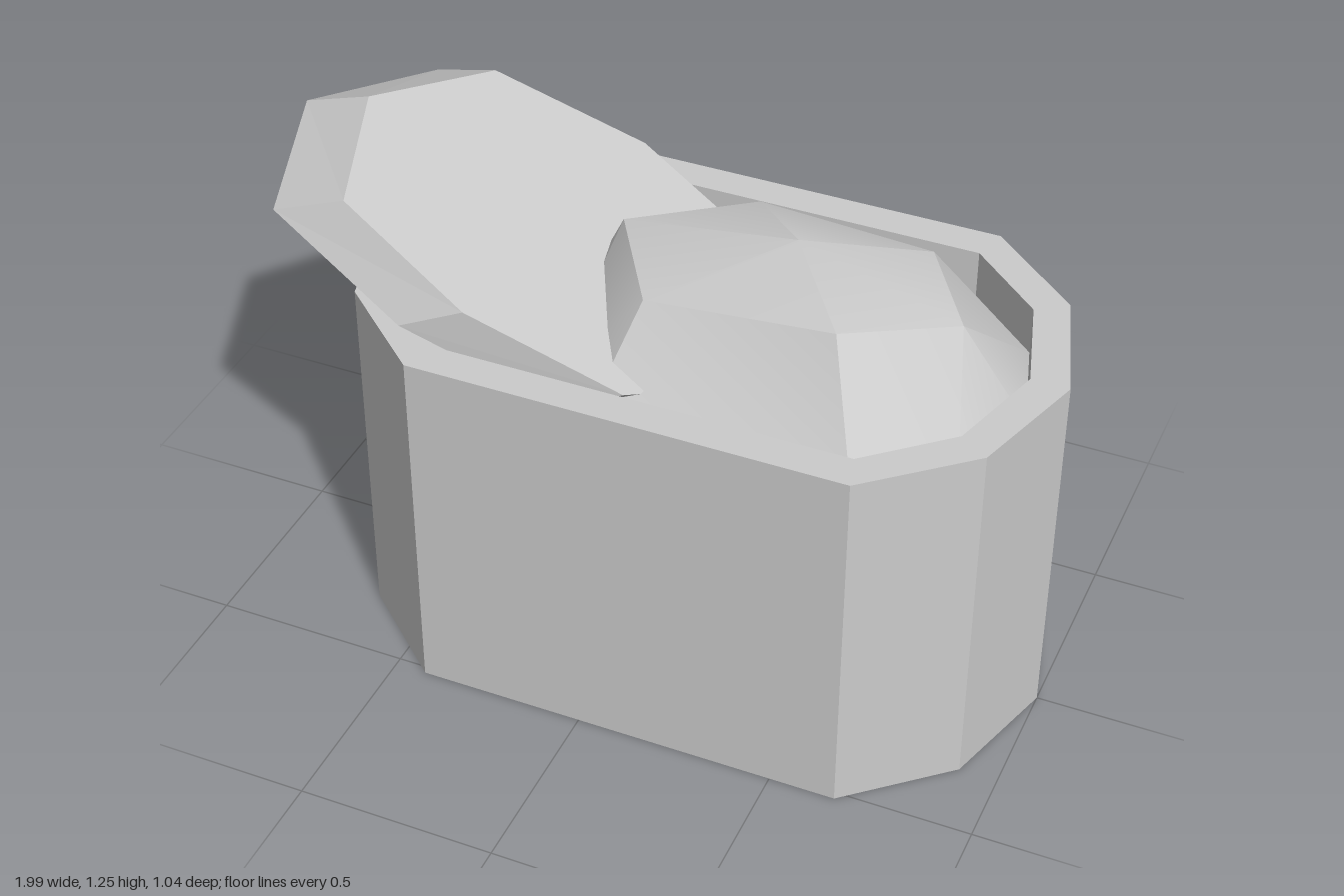
import * as THREE from 'three';
import { toCreasedNormals } from 'three/addons/utils/BufferGeometryUtils.js';

const material = new THREE.MeshStandardMaterial({ color: 0xcccccc });
const flat = new THREE.MeshStandardMaterial({ color: 0xcccccc, flatShading: true });

// Mirrors half an outline (right tip to left tip) in z to close it
const mirrored = (half) => [
  ...half,
  ...half.slice(1, -1).reverse().map(([x, z]) => [x, -z]),
];
const points = (outline) => outline.map(([x, z]) => new THREE.Vector2(x, z));

// Upright prism from y0 to y1, optionally with a hole
function prism(outline, y0, y1, hole) {
  const shape = new THREE.Shape(points(outline));
  if (hole) shape.holes.push(new THREE.Path(points(hole)));
  const g = new THREE.ExtrudeGeometry(shape, { depth: y1 - y0, bevelEnabled: false });
  return g.rotateX(-Math.PI / 2).translate(0, y0, 0);
}

function fromTriangles(tris) {
  const g = new THREE.BufferGeometry();
  g.setAttribute('position', new THREE.Float32BufferAttribute(tris.flat(2), 3));
  g.computeVertexNormals();
  return g;
}

// Faceted mound: a base ring, a smaller uneven ring and an apex
function moundGeometry() {
  const base = mirrored([
    [0.905, 0], [0.83, 0.26], [0.64, 0.43], [-0.02, 0.43], [-0.17, 0.26], [-0.24, 0],
  ]).map(([x, z]) => [x, 0.83, z]);
  const upper = [
    [0.74, 1.055, 0], [0.52, 1.13, 0.24], [0.04, 1.065, 0.21],
    [-0.12, 1.09, -0.04], [0.14, 1.075, -0.26], [0.6, 1.1, -0.19],
  ];
  const apex = [0.335, 1.18, 0];
  const link = [0, 0, 1, 2, 2, 3, 3, 4, 5, 5]; // upper corner above each base corner
  const tris = [];
  base.forEach((b, i) => {
    const j = (i + 1) % base.length;
    const u = upper[link[i]], v = upper[link[j]];
    tris.push([b, v, base[j]]);
    if (u !== v) tris.push([b, u, v]);
  });
  upper.forEach((u, i) => tris.push([u, apex, upper[(i + 1) % upper.length]]));
  return toCreasedNormals(fromTriangles(tris), 0.5);
}

// Tilted lid: flat top with a flared skirt swept back and down
function lidGeometry() {
  const outline = [
    [-0.8, -0.06], [-0.61, -0.36], [-0.22, -0.39], [0.04, -0.3], [0.15, 0],
    [0.1, 0.36], [0.07, 0.39], [-0.32, 0.41], [-0.685, 0.285],
  ];
  const top = outline.map(([x, z]) => [x, 1.25 - 0.34 * (x + 0.8) - 0.06 * (z + 0.06), z]);
  const bottom = top.map(([x, y, z]) => [
    x - (x < -0.5 ? 0.19 : 0.16), y - 0.072, z * 1.09 - 0.02,
  ]);
  const tris = [];
  top.forEach((t, i) => {
    const j = (i + 1) % top.length;
    tris.push([t, bottom[j], bottom[i]], [t, top[j], bottom[j]]);
  });
  for (const [a, b, c] of THREE.ShapeUtils.triangulateShape(points(outline), [])) {
    tris.push([top[a], top[c], top[b]], [bottom[a], bottom[b], bottom[c]]);
  }
  return fromTriangles(tris);
}

export function createModel() {
  const group = new THREE.Group();
  const add = (name, geometry, mat) => {
    const mesh = new THREE.Mesh(geometry, mat);
    mesh.name = name;
    group.add(mesh);
  };

  // Open tin with a stadium outline
  const outer = mirrored([
    [1, 0], [0.905, 0.31], [0.665, 0.52], [-0.42, 0.52], [-0.66, 0.31], [-0.745, 0],
  ]);
  const inner = mirrored([
    [0.905, 0], [0.83, 0.26], [0.64, 0.43], [-0.395, 0.43], [-0.58, 0.26], [-0.655, 0],
  ]);
  add('tinWall', prism(outer, 0, 0.955, inner), flat);
  add('tinFloor', prism(inner, 0, 0.83), flat);

  // Contents and the lid pushed aside
  add('contents', moundGeometry(), material);
  add('lid', lidGeometry(), flat);
  return group;
}
